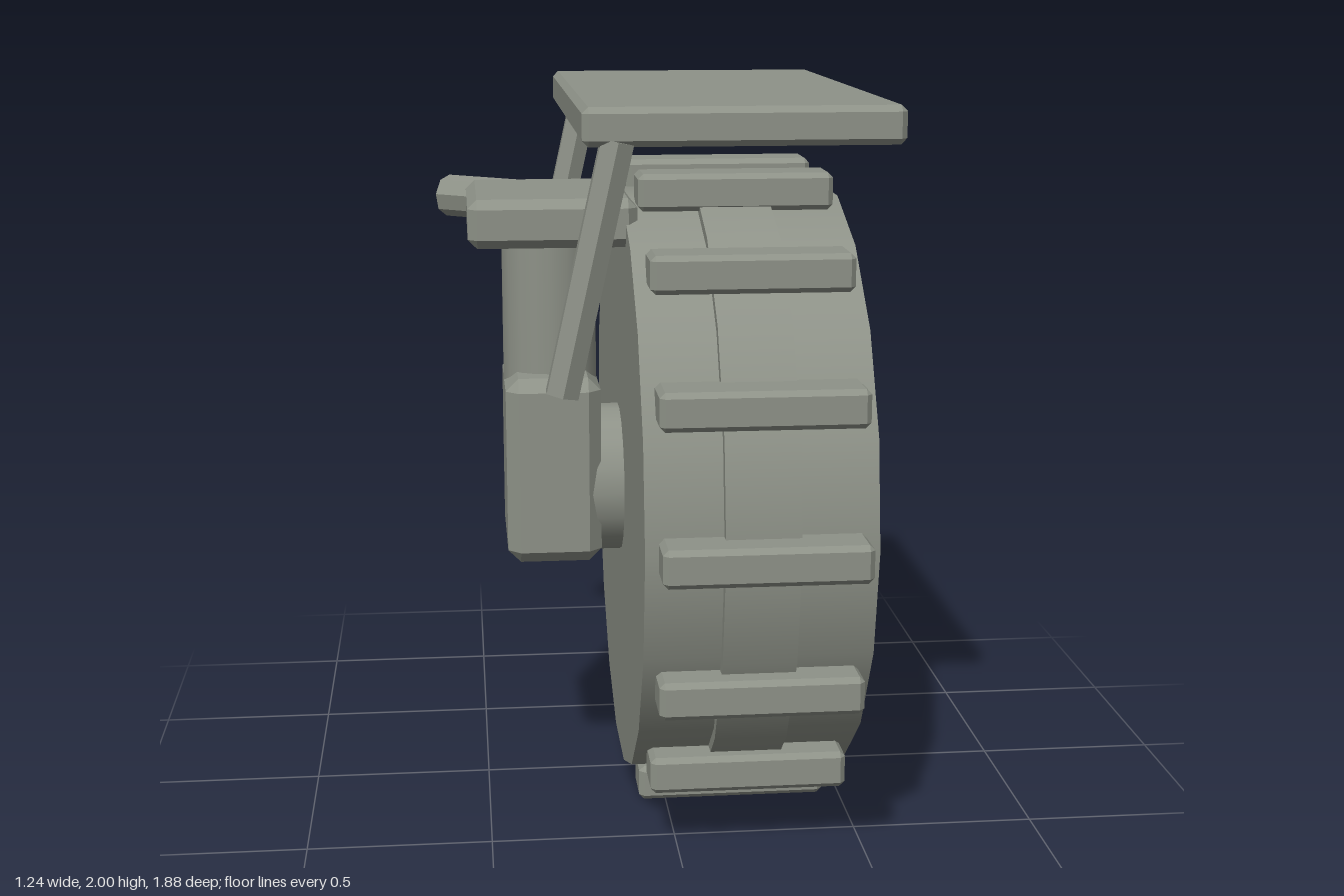
import * as THREE from 'three';
import { ConvexGeometry } from 'three/addons/geometries/ConvexGeometry.js';

const material = new THREE.MeshStandardMaterial({ color: 0x8e9288 });
const AXLE_Y = 0.895;

// Box given by its min and max corners, with every edge chamfered
function chamferBox(name, min, max, c) {
  const half = min.map((v, i) => (max[i] - v) / 2);
  const points = [];
  for (const sx of [-1, 1]) for (const sy of [-1, 1]) for (const sz of [-1, 1]) {
    for (let axis = 0; axis < 3; axis++) {
      const p = half.map((h, i) => (i === axis ? h : h - c));
      points.push(new THREE.Vector3(sx * p[0], sy * p[1], sz * p[2]));
    }
  }
  const mesh = new THREE.Mesh(new ConvexGeometry(points), material);
  mesh.name = name;
  mesh.position.set(...min.map((v, i) => (v + max[i]) / 2));
  return mesh;
}

// Cylinder between two points
function rod(name, from, to, radius, sides, flat = false) {
  const a = new THREE.Vector3(...from), b = new THREE.Vector3(...to);
  const dir = b.clone().sub(a);
  let geometry = new THREE.CylinderGeometry(radius, radius, dir.length(), sides);
  if (flat) {
    geometry = geometry.toNonIndexed();
    geometry.computeVertexNormals();
  }
  const mesh = new THREE.Mesh(geometry, material);
  mesh.name = name;
  mesh.position.copy(a).add(b).multiplyScalar(0.5);
  mesh.quaternion.setFromUnitVectors(new THREE.Vector3(0, 1, 0), dir.normalize());
  return mesh;
}

// Cylinder lying along x
const disc = (name, x0, x1, radius, sides, y = AXLE_Y, z = 0, flat = false) =>
  rod(name, [x0, y, z], [x1, y, z], radius, sides, flat);

export function createModel() {
  const model = new THREE.Group();
  model.name = 'wheelUnit';

  // Tyre with a raised centre band
  const wheel = new THREE.Group();
  wheel.name = 'wheel';
  wheel.add(disc('tyre', -0.11, 0.485, 0.83, 18));
  wheel.add(disc('centreBand', 0.09, 0.282, 0.86, 18));

  // Upright tread blocks around the rim
  for (let i = 0; i < 14; i++) {
    const a = (i / 14) * Math.PI * 2;
    const y = AXLE_Y + Math.sin(a) * 0.865, z = Math.cos(a) * 0.865;
    wheel.add(chamferBox('treadBlock', [-0.075, y - 0.05, z - 0.075], [0.452, y + 0.05, z + 0.075], 0.014));
  }

  // Hub plate, cap and bolts
  wheel.add(disc('hubPlate', 0.47, 0.558, 0.4, 18));
  wheel.add(disc('hubCap', 0.54, 0.62, 0.13, 18));
  for (let i = 0; i < 6; i++) {
    const a = (i / 6) * Math.PI * 2;
    wheel.add(disc('bolt', 0.53, 0.59, 0.048, 6, AXLE_Y + Math.sin(a) * 0.245, Math.cos(a) * 0.245, true));
  }
  model.add(wheel);

  // Axle and steering knuckle on the inner side
  const suspension = new THREE.Group();
  suspension.name = 'suspension';
  suspension.add(disc('axle', -0.39, -0.1, 0.21, 18));
  suspension.add(chamferBox('knuckle', [-0.435, 0.7, -0.22], [-0.173, 1.224, 0.22], 0.035));
  suspension.add(rod('damper', [-0.305, 1.12, 0], [-0.305, 1.62, 0], 0.132, 18));
  suspension.add(chamferBox('upperMount', [-0.53, 1.596, -0.23], [-0.078, 1.727, 0.293], 0.025));

  // Short slanted arm beside the mount
  suspension.add(rod('steeringArm', [-0.582, 1.652, -0.475], [-0.305, 1.652, -0.27], 0.061, 8, true));
  model.add(suspension);

  // Flat mudguard on two leaning struts
  model.add(chamferBox('mudguard', [-0.25, 1.902, -0.773], [0.556, 2, 0.7], 0.016));
  for (const z of [-0.668, 0.664]) {
    model.add(rod('mudguardStrut', [-0.162, 1.915, z], [-0.304, 1.281, z], 0.047, 6, true));
  }

  return model;
}
